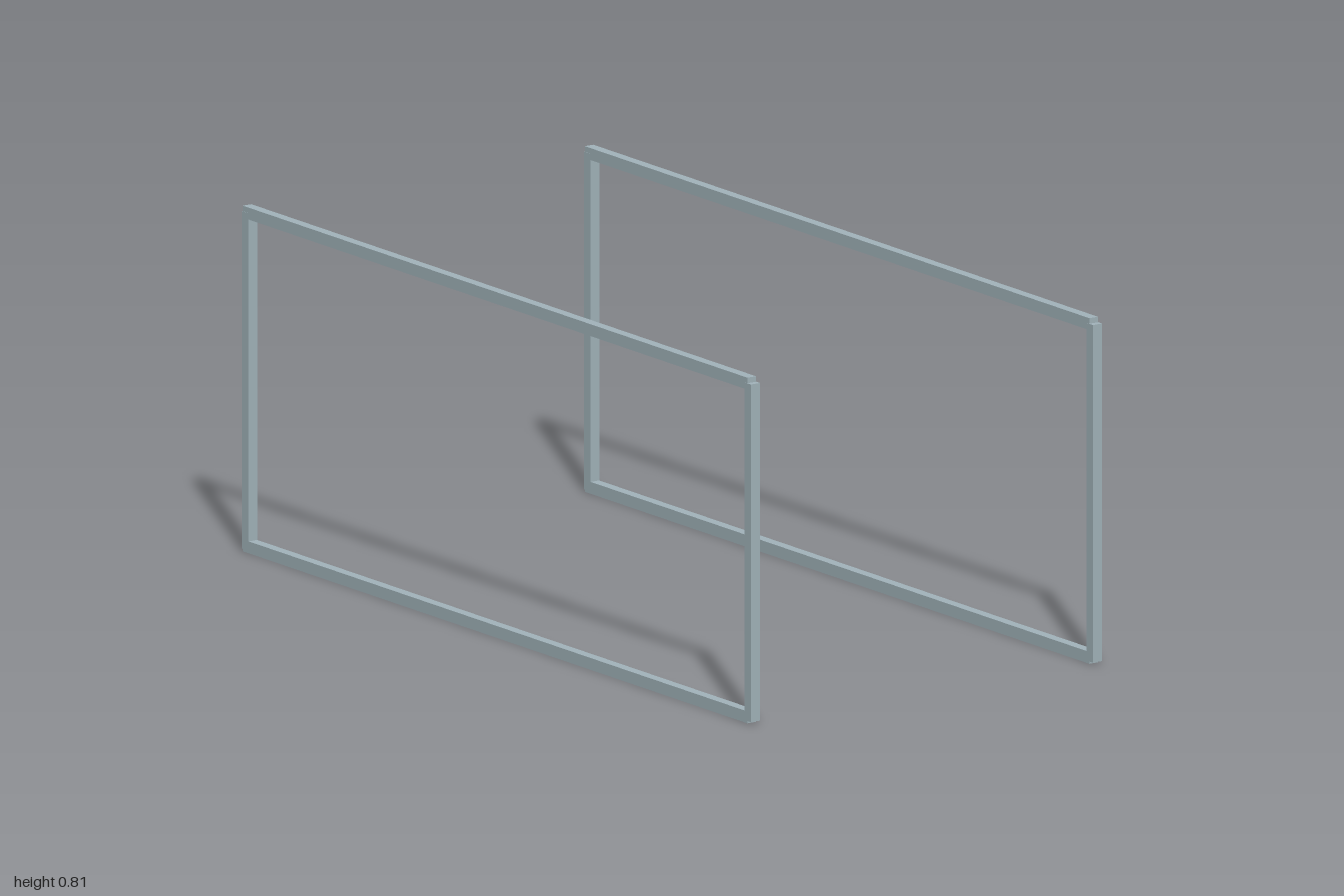
import * as THREE from 'three';

// Two upright rectangular frames of square bar stock, one at the front, one at the back.
export function createModel() {
  const model = new THREE.Group();
  model.name = 'framePair';
  const steel = new THREE.MeshStandardMaterial({ color: 0xa2b4bb });
  steel.name = 'paleBlueGreySteel';

  // Box given by its x and y extents, centred on z
  function bar(parent, name, x0, x1, y0, y1, depth) {
    const mesh = new THREE.Mesh(new THREE.BoxGeometry(x1 - x0, y1 - y0, depth), steel);
    mesh.name = name;
    mesh.position.set((x0 + x1) / 2, (y0 + y1) / 2, 0);
    parent.add(mesh);
  }

  for (const [name, z] of [['frontFrame', 0.48], ['backFrame', -0.48]]) {
    const frame = new THREE.Group();
    frame.name = name;
    frame.position.z = z;

    // Rails stop short of the left post's outer face
    bar(frame, 'bottomRail', -0.998, 0.985, 0, 0.028, 0.024);
    bar(frame, 'topRail', -0.998, 0.985, 0.786, 0.814, 0.024);

    // Posts, slightly deeper than the rails
    bar(frame, 'rightPost', -1, -0.975, 0.006, 0.801, 0.026);
    bar(frame, 'leftPost', 0.975, 1, 0.006, 0.801, 0.026);

    model.add(frame);
  }
  return model;
}
